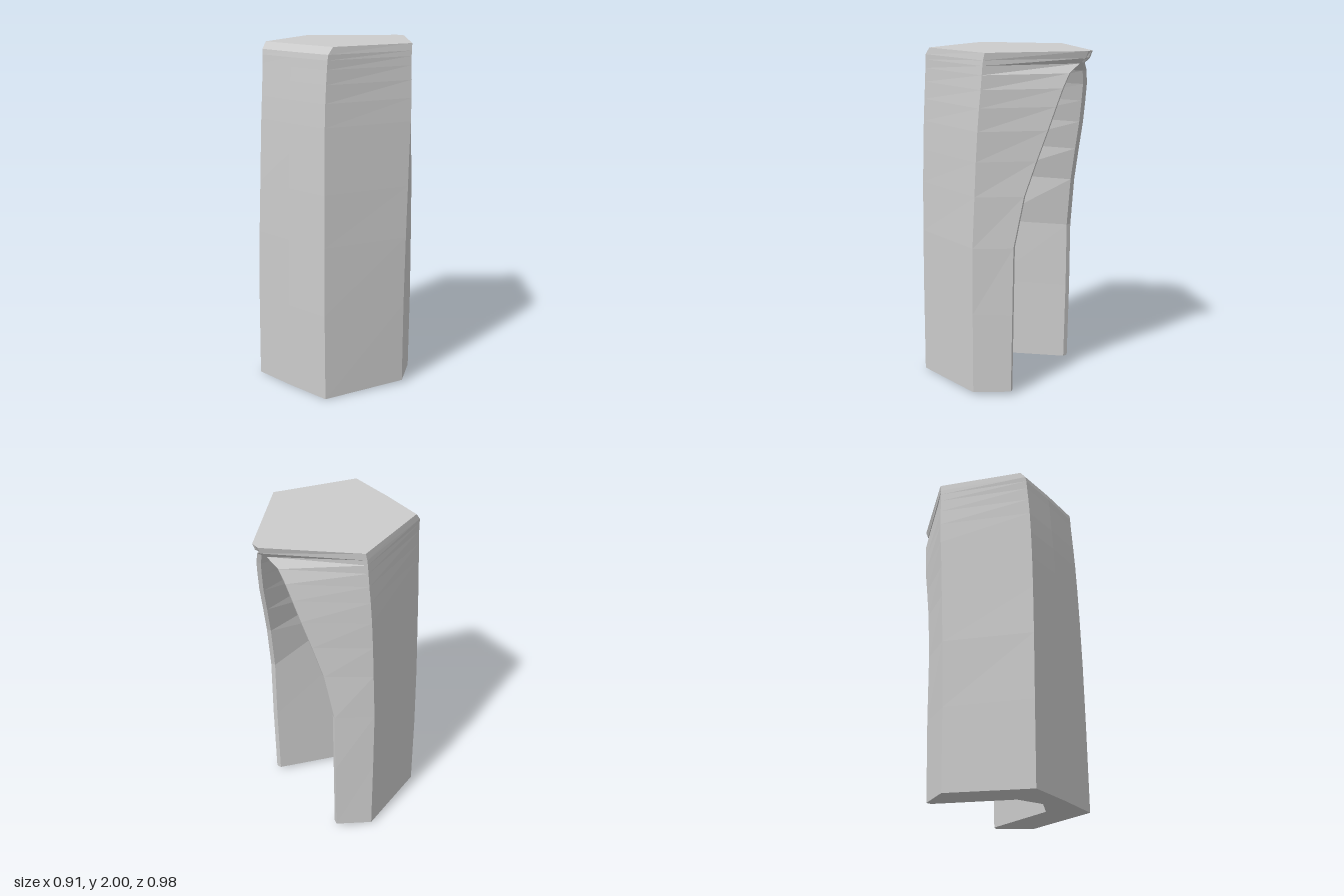
import * as THREE from 'three';

// Cross-sections of the shell, bottom to top:
// y, front right x, front left x, front z, side x, side z,
// opening edge x, edge z, cavity half width, cavity corner z, cavity middle z
const LEVELS = [
  [0, 0.285, -0.275, 0.48, 0.45, 0, 0.335, -0.19, 0.146, 0.277, 0.35],
  [0.5, 0.282, -0.27, 0.48, 0.452, -0.003, 0.335, -0.2, 0.146, 0.272, 0.343],
  [0.9, 0.28, -0.26, 0.477, 0.456, -0.01, 0.33, -0.205, 0.146, 0.265, 0.335],
  [1.2, 0.278, -0.25, 0.471, 0.453, -0.025, 0.29, -0.25, 0.146, 0.25, 0.315],
  [1.4, 0.275, -0.245, 0.466, 0.451, -0.035, 0.245, -0.3, 0.14, 0.22, 0.28],
  [1.57, 0.272, -0.242, 0.46, 0.449, -0.046, 0.205, -0.345, 0.128, 0.15, 0.21],
  [1.7, 0.27, -0.24, 0.453, 0.444, -0.055, 0.17, -0.375, 0.11, 0.06, 0.11],
  [1.8, 0.27, -0.241, 0.446, 0.437, -0.062, 0.14, -0.398, 0.085, -0.07, -0.03],
  [1.88, 0.271, -0.243, 0.44, 0.431, -0.066, 0.1, -0.415, 0.05, -0.22, -0.19],
  [1.93, 0.273, -0.246, 0.437, 0.428, -0.069, 0.03, -0.44, 0.005, -0.41, -0.405],
  [1.96, 0.275, -0.25, 0.433, 0.426, -0.072, 0.025, -0.475, 0.004, -0.46, -0.455],
  [2, 0.28, -0.255, 0.402, 0.422, -0.08, 0.026, -0.49, 0.004, -0.488, -0.486],
];
const OUTER = 7; // ring points on the outside of the shell

// C-shaped ring: around the outside, then back through the cavity
function ring([y, fr, fl, fz, sx, sz, ex, ez, iw, iz, im]) {
  const shift = y > 1.2 ? -0.018 * (y - 1.2) / 0.8 : 0; // peak sits slightly off centre
  const lip = Math.min(0.03, ex * 0.4);
  const points = [
    [-ex + shift, ez], [-sx, sz], [fl, fz], [0, fz + 0.006], [fr, fz], [sx, sz], [ex + shift, ez],
    [ex - lip + shift, ez + lip * 0.3], [iw + shift, iz], [shift, im], [-iw + shift, iz],
    [-ex + lip + shift, ez + lip * 0.3],
  ];
  // the foot rises slightly toward the back
  return points.map(([x, z]) => [x, y === 0 ? 0.02 * (0.486 - z) / 0.676 : y, z]);
}

function shellGeometry() {
  const rings = LEVELS.map(ring);
  const n = rings[0].length;
  const index = [];
  // walls
  for (let k = 0; k < rings.length - 1; k++) {
    for (let i = 0; i < n; i++) {
      const j = (i + 1) % n;
      const a = k * n + i, b = k * n + j;
      index.push(a, b, b + n, a, b + n, a + n);
    }
  }
  // underside of the C-shaped foot
  const foot = rings[0].map(([x, , z]) => new THREE.Vector2(x, -z));
  for (const [a, b, c] of THREE.ShapeUtils.triangulateShape(foot, [])) index.push(a, c, b);
  // closed top
  const top = (rings.length - 1) * n;
  for (let i = 1; i < OUTER - 1; i++) index.push(top, top + i, top + i + 1);

  const geometry = new THREE.BufferGeometry();
  geometry.setAttribute('position', new THREE.Float32BufferAttribute(rings.flat(2), 3));
  geometry.setIndex(index);
  const flat = geometry.toNonIndexed();
  flat.computeVertexNormals();
  return flat;
}

export function createModel() {
  const group = new THREE.Group();
  group.name = 'pentagonalCover';
  const material = new THREE.MeshStandardMaterial({ color: 0xcccccc, flatShading: true });
  const shell = new THREE.Mesh(shellGeometry(), material);
  shell.name = 'hollowShell';
  group.add(shell);
  return group;
}
